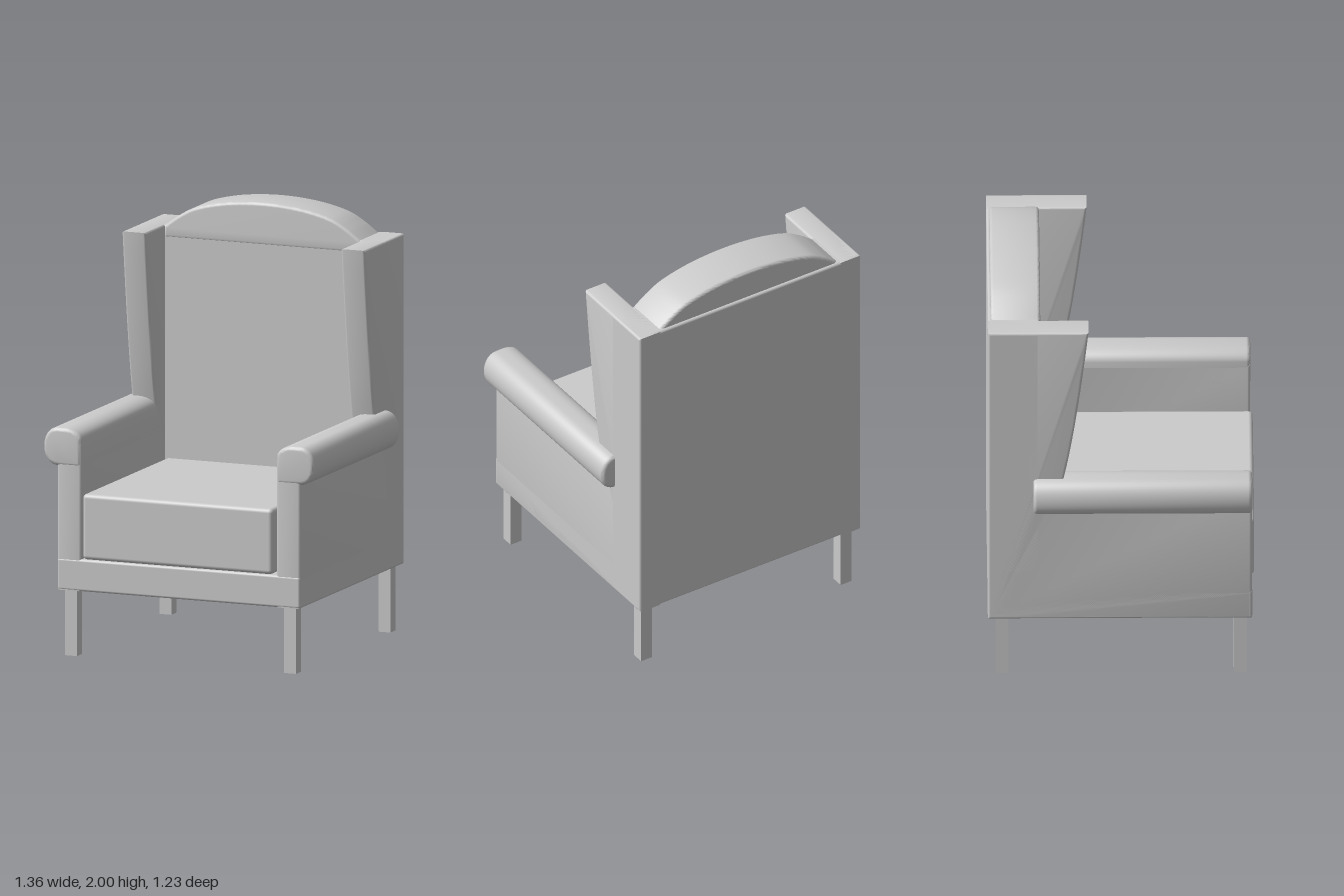
import * as THREE from 'three';
import { toCreasedNormals } from 'three/addons/utils/BufferGeometryUtils.js';
import { RoundedBoxGeometry } from 'three/addons/geometries/RoundedBoxGeometry.js';

const material = new THREE.MeshStandardMaterial({ color: 0xcccccc });

function add(group, name, geometry) {
  const mesh = new THREE.Mesh(geometry, material);
  mesh.name = name;
  group.add(mesh);
}

// Rounded box given by its limits on each axis
function box(x0, x1, y0, y1, z0, z1, radius) {
  const size = [x1 - x0, y1 - y0, z1 - z0];
  const geometry = radius
    ? new RoundedBoxGeometry(...size, 3, radius)
    : new THREE.BoxGeometry(...size);
  return geometry.translate((x0 + x1) / 2, (y0 + y1) / 2, (z0 + z1) / 2);
}

// Softly bevelled slab, filling depth 0..depth and staying inside its outline
function slab(shape, depth, bevel) {
  const geometry = new THREE.ExtrudeGeometry(shape, {
    depth: depth - 2 * bevel,
    bevelThickness: bevel,
    bevelSize: bevel,
    bevelOffset: -bevel,
    bevelSegments: 3,
    curveSegments: 10,
  }).translate(0, 0, bevel);
  return toCreasedNormals(geometry, 0.65);
}

// Side panel with the wing rising at the back, drawn in (z, y)
function sideShape() {
  const s = new THREE.Shape();
  s.moveTo(-0.615, 0.31);
  s.lineTo(0.603, 0.31);
  s.lineTo(0.603, 1.0);
  s.lineTo(-0.28, 1.0);
  s.lineTo(-0.265, 1.07);
  s.bezierCurveTo(-0.225, 1.24, -0.18, 1.58, -0.15, 1.86);
  s.lineTo(-0.615, 1.86);
  s.closePath();
  return s;
}

// Arm roll section, drawn in (x, y)
function armShape(side) {
  const s = new THREE.Shape();
  const x = (v) => v * side;
  s.moveTo(x(0.49), 0.9);
  s.lineTo(x(0.49), 1.02);
  s.bezierCurveTo(x(0.495), 1.05, x(0.53), 1.07, x(0.575), 1.07);
  s.lineTo(x(0.61), 1.07);
  s.bezierCurveTo(x(0.65), 1.07, x(0.68), 1.035, x(0.68), 0.98);
  s.bezierCurveTo(x(0.68), 0.925, x(0.65), 0.89, x(0.6), 0.89);
  s.lineTo(x(0.5), 0.89);
  s.closePath();
  return s;
}

// Arched crest, drawn in (x, y)
function crestShape() {
  const s = new THREE.Shape();
  s.moveTo(-0.495, 1.8);
  s.lineTo(0.495, 1.8);
  s.lineTo(0.495, 1.855);
  s.splineThru([[0.42, 1.91], [0.33, 1.955], [0.18, 1.988], [0, 2], [-0.18, 1.988],
    [-0.33, 1.955], [-0.42, 1.91], [-0.495, 1.855]].map(([x, y]) => new THREE.Vector2(x, y)));
  s.closePath();
  return s;
}

export function createModel() {
  const chair = new THREE.Group();
  chair.name = 'wingChair';

  // Seat frame, backrest and loose cushion
  add(chair, 'seatFrame', box(-0.61, 0.61, 0.31, 0.46, -0.615, 0.605, 0.012));
  add(chair, 'backrest', box(-0.61, 0.61, 0.31, 1.86, -0.615, -0.375, 0.012));
  add(chair, 'seatCushion', box(-0.48, 0.475, 0.462, 0.77, -0.372, 0.615, 0.02));

  // Crest above the backrest
  add(chair, 'crest', slab(crestShape(), 0.23, 0.015).translate(0, 0, -0.602));

  for (const side of [1, -1]) {
    const label = side > 0 ? 'left' : 'right';

    // Side panel and wing
    const panel = slab(sideShape(), 0.12, 0.012);
    panel.rotateY(-Math.PI / 2).translate(side > 0 ? 0.61 : -0.49, 0, 0);
    add(chair, label + 'WingPanel', panel);

    // Rolled armrest
    add(chair, label + 'Armrest', slab(armShape(side), 1.01, 0.018).translate(0, 0, -0.405));

    // Square legs
    for (const end of [1, -1]) {
      const x = side * 0.55, z = end * 0.55;
      add(chair, label + (end > 0 ? 'FrontLeg' : 'BackLeg'),
        box(x - 0.03, x + 0.03, 0, 0.32, z - 0.03, z + 0.03));
    }
  }
  return chair;
}
